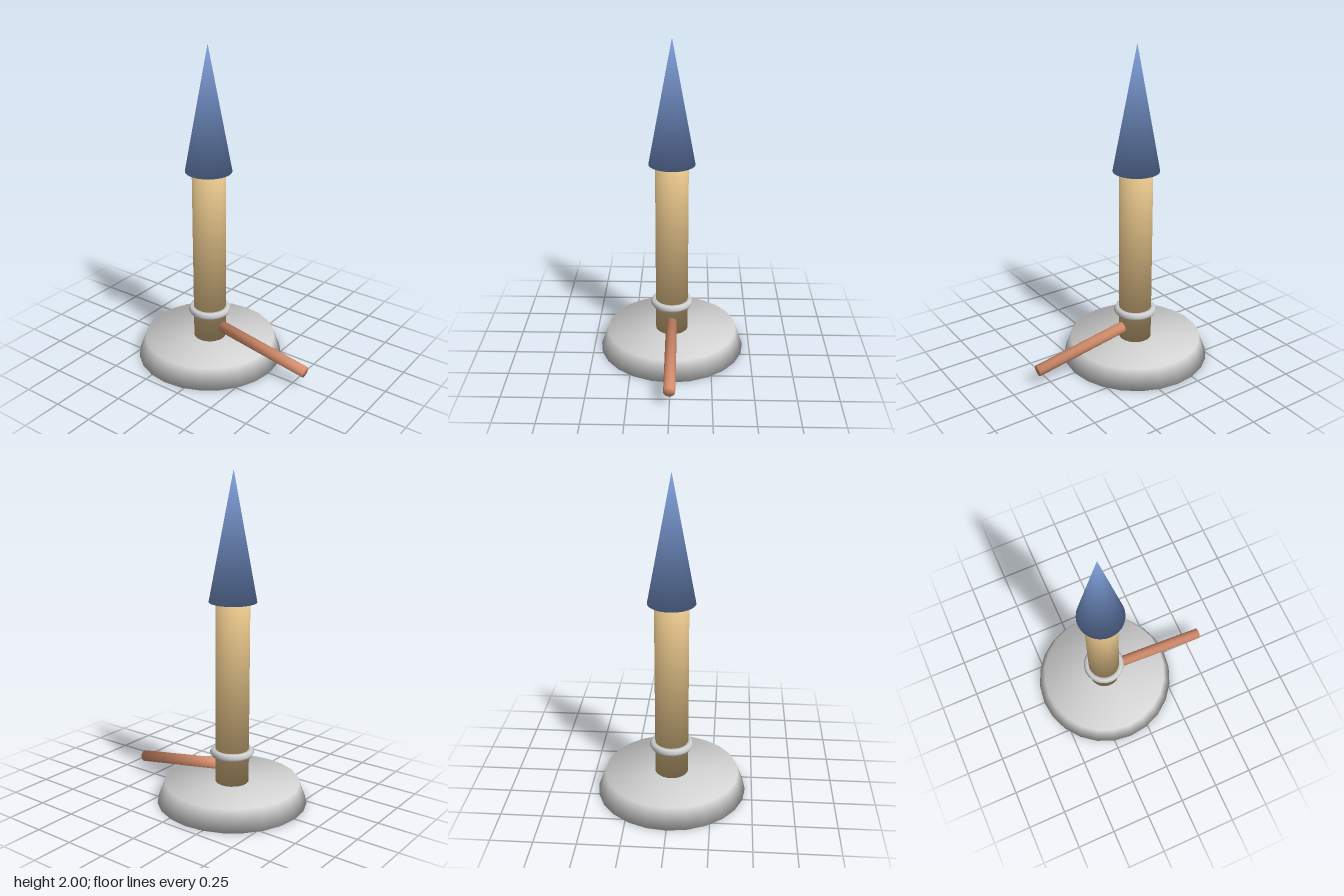
import * as THREE from 'three';

const material = (name, color) => {
  const m = new THREE.MeshStandardMaterial({ color });
  m.name = name;
  return m;
};

// Capped cylinder, cone or frustum whose normals run smoothly over its rims
function softCylinder(rTop, rBottom, height, sides) {
  const g = new THREE.CylinderGeometry(rTop, rBottom, height, sides);
  const p = g.attributes.position;
  const n = new THREE.Vector3();
  for (let i = 0; i < p.count; i++) {
    const x = p.getX(i), z = p.getZ(i), r = Math.hypot(x, z);
    const cap = Math.sign(p.getY(i));
    if (r < 1e-6) n.set(0, cap, 0);
    else {
      n.set((x / r) * height, rBottom - rTop, (z / r) * height).normalize();
      n.y += cap;
      n.normalize();
    }
    g.attributes.normal.setXYZ(i, n.x, n.y, n.z);
  }
  return g;
}

export function createModel() {
  const group = new THREE.Group();
  const grey = material('grey metal', 0xd3d3d3);
  const tan = material('brass', 0xdcbc84);
  const blue = material('flame blue', 0x7f9fdb);
  const copper = material('hose copper', 0xdc9270);
  const axisX = -0.132;

  const add = (name, geometry, mat, x, y) => {
    const mesh = new THREE.Mesh(geometry, mat);
    mesh.name = name;
    mesh.position.set(x, y, 0);
    group.add(mesh);
    return mesh;
  };
  // Upright part between two heights on the burner's axis
  const upright = (name, rTop, rBottom, y0, y1, mat, sides = 24) =>
    add(name, softCylinder(rTop, rBottom, y1 - y0, sides), mat, axisX, (y0 + y1) / 2);

  upright('base', 0.412, 0.458, 0, 0.125, grey);
  upright('barrel', 0.102, 0.102, 0.11, 1.232, tan);
  upright('barrelMouth', 0.085, 0.085, 1.2, 1.242, tan);
  upright('flame', 0, 0.142, 1.24, 2, blue, 32);

  // Collar ring with a six-sided section
  const collar = add('collar', new THREE.TorusGeometry(0.11, 0.025, 6, 24), grey, axisX, 0.313);
  collar.rotation.x = Math.PI / 2;

  // Gas hose sloping down from the barrel
  const a = new THREE.Vector2(-0.036, 0.209), b = new THREE.Vector2(0.583, 0.107);
  const d = b.clone().sub(a);
  const hose = add('hose', softCylinder(0.035, 0.035, d.length(), 16), copper, (a.x + b.x) / 2, (a.y + b.y) / 2);
  hose.rotation.z = Math.atan2(d.y, d.x) - Math.PI / 2;

  return group;
}
